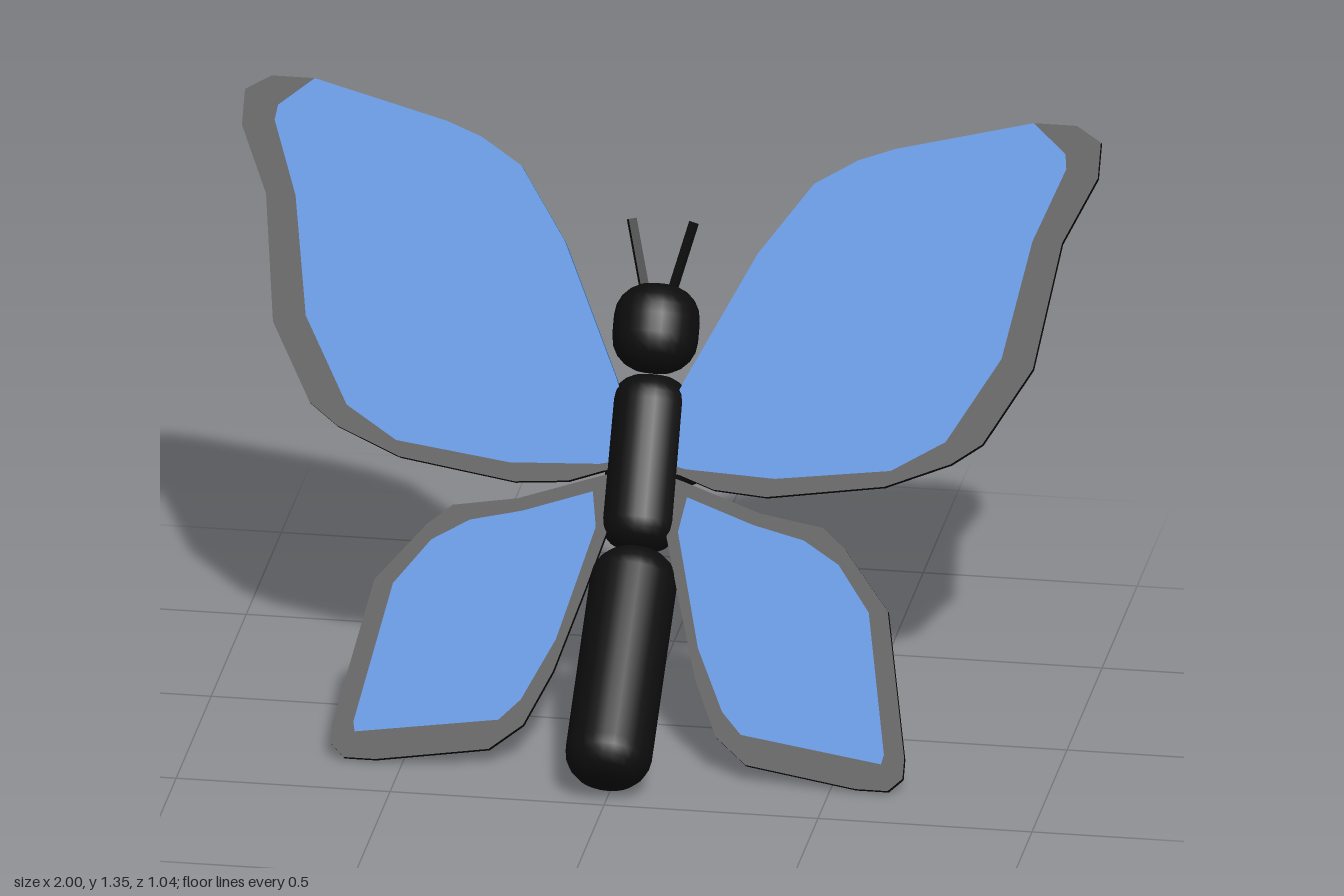
import * as THREE from 'three';

const black = new THREE.MeshStandardMaterial({ color: 0x0d0d0d });
black.name = 'black';
const blue = new THREE.MeshStandardMaterial({ color: 0x2478cc });
blue.name = 'wingBlue';

const TILT = Math.atan(0.627); // slope of the wing plane
const THICK = 0.02;

// Wing outlines for the left side, as [x, height]
const foreLeading = [[0.05, 0.74], [0.08, 0.8], [0.225, 1.06], [0.342, 1.205], [0.44, 1.257], [0.524, 1.284], [0.84, 1.352]];
const foreInner = [[0.92, 1.295], [0.925, 1.265], [0.861, 1.118], [0.813, 0.882], [0.7, 0.711], [0.578, 0.647], [0.31, 0.617], [0.1, 0.625], [0.05, 0.635]];
const foreOuter = [[0.84, 1.352], [0.941, 1.352], [1, 1.322], [1, 1.251], [0.93, 1.118], [0.888, 0.866], [0.786, 0.711], [0.717, 0.668], [0.567, 0.615], [0.294, 0.58], [0.17, 0.588], [0.09, 0.612], [0.05, 0.62]];
const hindOuter = [[0.06, 0.61], [0.1, 0.6], [0.283, 0.547], [0.433, 0.526], [0.487, 0.487], [0.6, 0.369], [0.668, 0.08], [0.668, 0.04], [0.636, 0.014], [0.561, 0.014], [0.3, 0.048], [0.225, 0.1], [0.166, 0.21], [0.11, 0.37], [0.07, 0.49]];
const hindInner = [[0.11, 0.57], [0.27, 0.523], [0.39, 0.499], [0.476, 0.455], [0.556, 0.364], [0.62, 0.085], [0.615, 0.066], [0.283, 0.107], [0.235, 0.15], [0.166, 0.273], [0.096, 0.5]];

function add(parent, name, geometry, material) {
  const mesh = new THREE.Mesh(geometry, material);
  mesh.name = name;
  parent.add(mesh);
  return mesh;
}

// Flat wing plate lying in the tilted wing plane
function plate(points, side, hole) {
  const map = (list) => list.map(([x, y]) => new THREE.Vector2(side * x, (y - 0.6) / Math.cos(TILT)));
  const shape = new THREE.Shape(map(points));
  if (hole) shape.holes.push(new THREE.Path(map(hole)));
  const geometry = new THREE.ExtrudeGeometry(shape, { depth: THICK, bevelEnabled: false });
  return geometry.translate(0, 0, -THICK / 2).rotateX(-TILT).translate(0, 0.6, -0.039);
}

// Round body segment with softened ends
function segment(radius, length, corner) {
  const points = [new THREE.Vector2(0, -length / 2)];
  for (const end of [-1, 1]) {
    for (let i = 0; i <= 5; i++) {
      const a = (end < 0 ? i - 5 : i) * Math.PI / 10;
      points.push(new THREE.Vector2(radius - corner + corner * Math.cos(a), end * (length / 2 - corner) + corner * Math.sin(a)));
    }
  }
  points.push(new THREE.Vector2(0, length / 2));
  return new THREE.LatheGeometry(points, 24);
}

// Square rods following a list of points
function rods(parent, name, points, width, depth) {
  const group = new THREE.Group();
  group.name = name;
  for (let i = 0; i < points.length - 1; i++) {
    const a = new THREE.Vector3(...points[i]);
    const b = new THREE.Vector3(...points[i + 1]);
    const rod = add(group, name + 'Section', new THREE.BoxGeometry(width, depth, a.distanceTo(b) + depth / 2), black);
    rod.position.copy(a).lerp(b, 0.5);
    rod.lookAt(b);
  }
  parent.add(group);
}

export function createModel() {
  const model = new THREE.Group();
  model.name = 'butterfly';

  // Body: name, radius, length, corner, y, z, tilt
  for (const [name, radius, length, corner, y, z, tilt] of [
    ['head', 0.1, 0.205, 0.08, 0.895, -0.242, 0.57],
    ['thorax', 0.091, 0.41, 0.065, 0.62, -0.09, 0.57],
    ['abdomen', 0.101, 0.6, 0.075, 0.251, 0.256, 0.89],
  ]) {
    const part = add(model, name, segment(radius, length, corner), black);
    part.position.set(0, y, z);
    part.rotation.x = -tilt;
  }

  // Paired parts
  for (const side of [1, -1]) {
    const label = side > 0 ? 'left' : 'right';
    const flip = (points) => points.map(([x, y, z]) => [side * x, y, z]);

    add(model, label + 'ForewingPanel', plate([...foreLeading, ...foreInner], side), blue);
    add(model, label + 'ForewingBorder', plate([...foreOuter, ...foreInner.slice().reverse()], side), black);
    add(model, label + 'HindwingPanel', plate(hindInner, side), blue);
    add(model, label + 'HindwingBorder', plate(hindOuter, side, hindInner), black);

    rods(model, label + 'Antenna', flip([[0.025, 0.95, -0.265], [0.072, 1.122, -0.338]]), 0.02, 0.012);

    // Legs bend outward at the knee, then in toward the feet
    rods(model, label + 'FrontLeg', flip([[0.05, 0.66, -0.19], [0.105, 0.62, -0.31], [0.05, 0.62, -0.4], [0.035, 0.605, -0.445]]), 0.028, 0.028);
    rods(model, label + 'MiddleLeg', flip([[0.05, 0.59, -0.16], [0.105, 0.525, -0.275], [0.05, 0.475, -0.345], [0.035, 0.46, -0.365]]), 0.028, 0.026);
    rods(model, label + 'RearLeg', flip([[0.05, 0.505, -0.09], [0.1, 0.43, -0.19], [0.05, 0.37, -0.25], [0.035, 0.345, -0.285]]), 0.026, 0.024);
  }
  return model;
}
